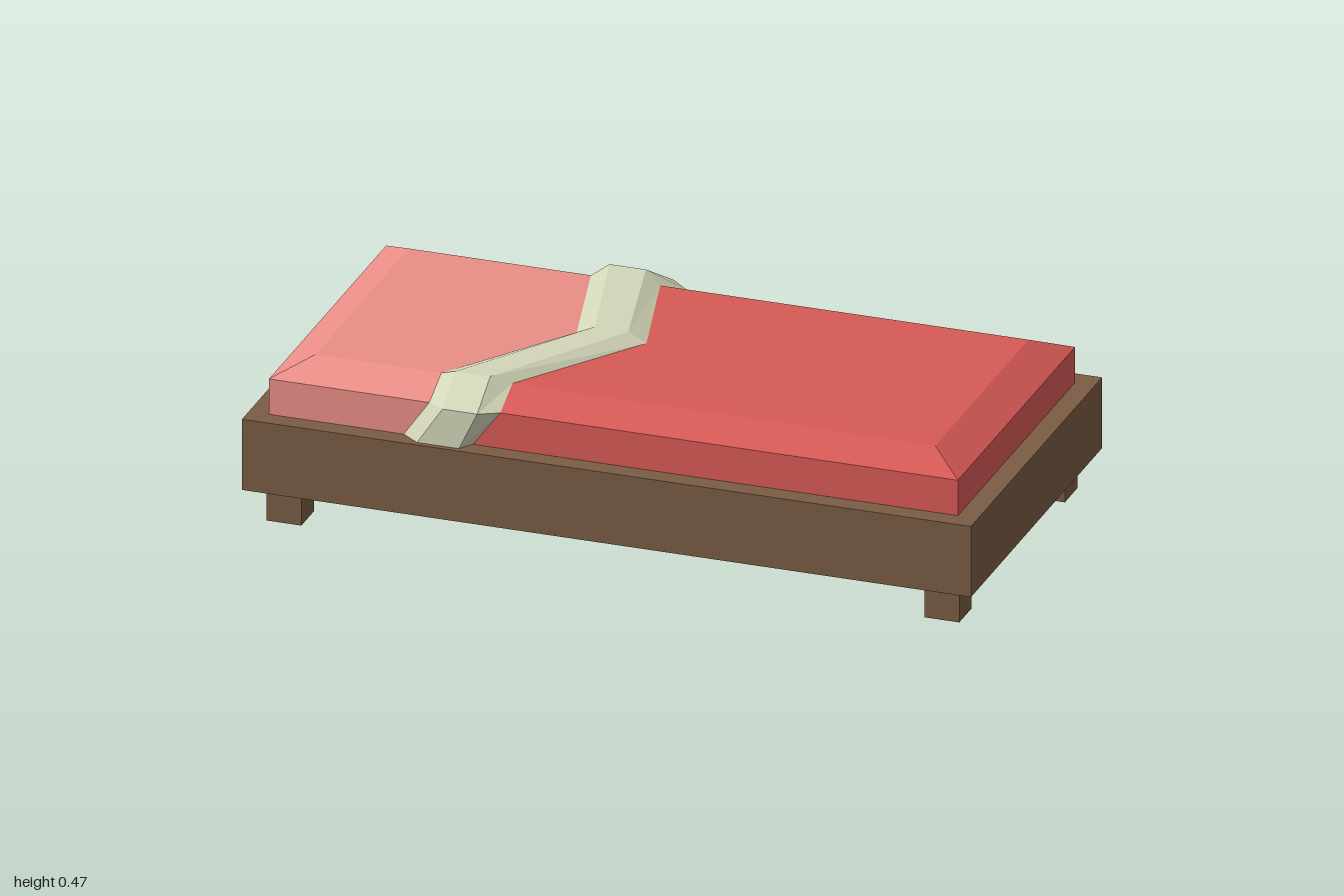
import * as THREE from 'three';

const mat = (color) => new THREE.MeshStandardMaterial({ color, flatShading: true });

// Flat-shaded surface from four-cornered faces (counter-clockwise from outside)
function quadMesh(name, quads, material) {
  const pos = [];
  for (const [a, b, c, d] of quads) pos.push(...a, ...b, ...c, ...a, ...c, ...d);
  const g = new THREE.BufferGeometry();
  g.setAttribute('position', new THREE.Float32BufferAttribute(pos, 3));
  g.computeVertexNormals();
  const mesh = new THREE.Mesh(g, material);
  mesh.name = name;
  return mesh;
}

// Joins rows running front to back, each row going from -x to +x
function strip(rows) {
  const quads = [];
  for (let i = 0; i < rows.length - 1; i++)
    for (let j = 0; j < rows[i].length - 1; j++)
      quads.push([rows[i][j], rows[i][j + 1], rows[i + 1][j + 1], rows[i + 1][j]]);
  return quads;
}

// Stations over the bed: y, z on the bedding; y, z on the fold's ridge;
// fold x: outer left, ridge left, ridge right, outer right
const STATIONS = [
  { y: 0.3, z: 0.447, ry: 0.3, rz: 0.485, x: [-0.575, -0.525, -0.41, -0.385] },
  { y: 0.4, z: 0.447, ry: 0.405, rz: 0.485, x: [-0.505, -0.455, -0.36, -0.31] },
  { y: 0.445, z: 0.355, ry: 0.47, rz: 0.385, x: [-0.505, -0.455, -0.36, -0.31] },
  { y: 0.445, z: 0, ry: 0.47, rz: 0, x: [-0.262, -0.212, -0.12, -0.07] },
  { y: 0.445, z: -0.355, ry: 0.47, rz: -0.385, x: [-0.35, -0.31, -0.21, -0.16] },
  { y: 0.4, z: -0.447, ry: 0.405, rz: -0.485, x: [-0.315, -0.265, -0.17, -0.12] },
  { y: 0.3, z: -0.447, ry: 0.3, rz: -0.485, x: [-0.27, -0.22, -0.13, -0.08] },
];

// One half of the bedding, from the fold to the bed's end
function bedding(name, side, material) {
  const ends = STATIONS.map((s) => [side * (s.y > 0.42 ? 0.85 : 0.945), s.y, s.z]);
  const seam = STATIONS.map((s) => [(s.x[0] + s.x[3]) / 2, s.y, s.z]);
  const rows = ends.map((e, i) => (side > 0 ? [seam[i], e] : [e, seam[i]]));
  const caps = [
    [ends[0], ends[6], ends[5], ends[1]],
    [ends[1], ends[5], ends[4], ends[2]],
  ];
  if (side < 0) caps.forEach((q) => q.reverse());
  return quadMesh(name, [...strip(rows), ...caps], material);
}

export function createModel() {
  const model = new THREE.Group();
  model.name = 'bed';
  const wood = mat(0x7a5c44);

  const box = (name, w, h, d, x, y, z) => {
    const m = new THREE.Mesh(new THREE.BoxGeometry(w, h, d), wood);
    m.name = name;
    m.position.set(x, y, z);
    model.add(m);
  };

  // Wooden base and four short legs
  box('frame', 2, 0.2, 1, 0, 0.2, 0);
  for (const [sx, xName] of [[1, 'Left'], [-1, 'Right']])
    for (const [sz, zName] of [[1, 'front'], [-1, 'back']])
      box(zName + xName + 'Leg', 0.095, 0.1, 0.095, sx * 0.9025, 0.05, sz * 0.4025);

  // Sheet at the head end, blanket over the rest
  model.add(bedding('sheet', -1, mat(0xea8e87)));
  model.add(bedding('blanket', 1, mat(0xd75a56)));

  // Turned-down fold zigzagging across the bed
  const fold = STATIONS.map(({ y, z, ry, rz, x }) => [
    [x[0], y, z], [x[1], ry, rz], [x[2], ry, rz], [x[3], y, z],
  ]);
  const foldMat = mat(0xd4d6b9);
  foldMat.side = THREE.DoubleSide;
  model.add(quadMesh('blanketFold', strip(fold), foldMat));

  return model;
}
